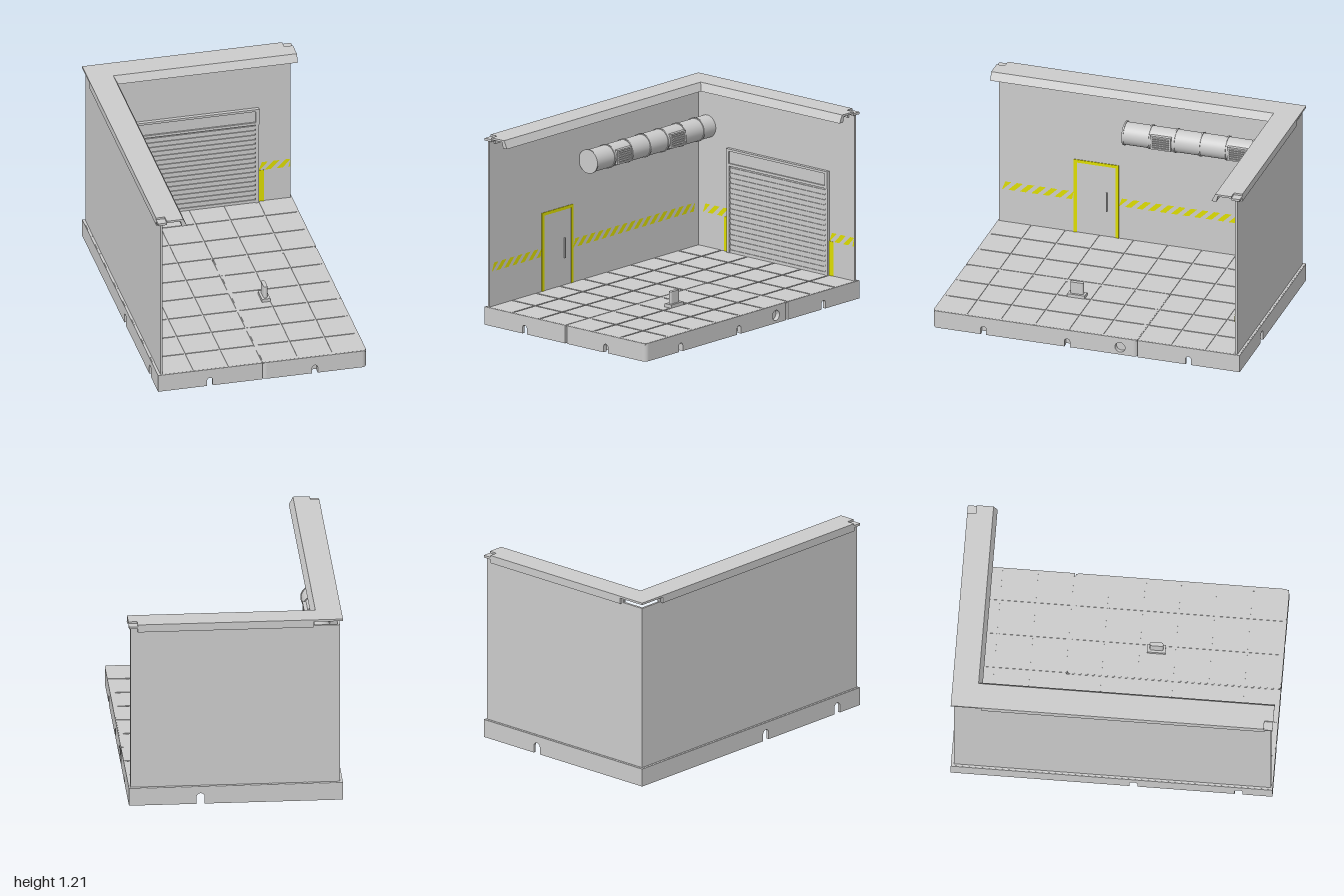
import * as THREE from 'three';

const grey = new THREE.MeshStandardMaterial({ color: 0xcccccc });
const yellow = new THREE.MeshStandardMaterial({ color: 0xdddd00, side: THREE.DoubleSide });
const FLOOR = 0.115, W = 0.665, SEAM = -0.333;

export function createModel() {
  const model = new THREE.Group();

  const add = (name, geometry, material = grey, parent = model) => {
    const mesh = new THREE.Mesh(geometry, material);
    mesh.name = name;
    parent.add(mesh);
    return mesh;
  };
  // box given by its limits on each axis
  const box = (name, x0, x1, y0, y1, z0, z1, material = grey, parent = model) => {
    const mesh = add(name, new THREE.BoxGeometry(x1 - x0, y1 - y0, z1 - z0), material, parent);
    mesh.position.set((x0 + x1) / 2, (y0 + y1) / 2, (z0 + z1) / 2);
    return mesh;
  };
  const poly = (points) => new THREE.Shape(points.map(([a, b]) => new THREE.Vector2(a, b)));
  const extrude = (shape, depth) =>
    new THREE.ExtrudeGeometry(shape, { depth, bevelEnabled: false, curveSegments: 10 });

  // skirt board along its local x, outer face at z = 0, with arched notches
  const skirt = (name, x0, x1, arches, width, height, thick, place, ports = []) => {
    const s = new THREE.Shape(), r = width / 2;
    s.moveTo(x0, 0);
    for (const a of arches) {
      s.lineTo(a - r, 0);
      s.lineTo(a - r, height - r);
      s.absarc(a, height - r, r, Math.PI, 0, true);
      s.lineTo(a + r, 0);
    }
    s.lineTo(x1, 0);
    s.lineTo(x1, FLOOR);
    s.lineTo(x0, FLOOR);
    for (const p of ports) s.holes.push(new THREE.Path().absarc(p, 0.05, 0.033, 0, Math.PI * 2, true));
    const g = extrude(s, thick);
    g.translate(0, 0, -thick);
    const mesh = add(name, g);
    mesh.rotation.y = place.turn;
    mesh.position.set(place.x ?? 0, 0, place.z ?? 0);
  };
  const H = Math.PI / 2;

  // main floor: L-shaped slab over open skirts
  box('floorSlab', -W, 0, 0.085, 0.112, -1, 1);
  box('floorSlabBack', 0, W, 0.085, 0.112, -1, SEAM);
  skirt('frontSkirt', -W, 0, [-0.335], 0.036, 0.055, 0.02, { turn: 0, z: 1 });
  skirt('backSkirt', -W, W, [-0.22], 0.05, 0.07, 0.017, { turn: Math.PI, z: -1 });
  skirt('leftSkirt', -1, 1, [0.135, 0.79], 0.05, 0.07, 0.017, { turn: -H, x: -W });
  skirt('rightSkirt', -SEAM, 1, [0.665], 0.036, 0.055, 0.02, { turn: H, x: W });

  // separate floor panel with rounded corners and a closed underside
  const R = 0.03;
  box('panelCore', R, W - R, 0.01, 0.112, SEAM + R, 1 - R);
  skirt('panelFront', R, W - R, [0.335], 0.036, 0.055, R, { turn: 0, z: 1 });
  skirt('panelBack', -W + R, -R, [-0.22], 0.05, 0.07, R, { turn: Math.PI, z: SEAM });
  skirt('panelRight', -1 + R, -SEAM - R, [-0.67, -0.125], 0.036, 0.055, R, { turn: H, x: W }, [0.22]);
  skirt('panelLeft', SEAM + R, 1 - R, [0.125, 0.67], 0.036, 0.055, R, { turn: -H });
  for (const x of [R, W - R]) for (const z of [SEAM + R, 1 - R]) {
    add('panelCorner', new THREE.CylinderGeometry(R, R, FLOOR, 24)).position.set(x, FLOOR / 2, z);
  }

  // floor tiles
  const T = 2 / 9, gap = 0.005;
  for (let i = 0; i < 6; i++) for (let j = 0; j < 9; j++) {
    const x = -W + i * T, z = -1 + j * T;
    box('floorTile', x + gap, Math.min(x + T, W) - gap, 0.108, FLOOR + 0.001, z + gap, z + T - gap);
  }

  // thin walls, lowered at the shared corner
  box('leftWall', -0.648, -0.634, 0.085, 1.165, -0.982, 0.99);
  box('leftWallTop', -0.648, -0.634, 1.165, 1.198, -0.82, 0.99);
  box('backWall', -0.648, 0.655, 0.085, 1.165, -0.982, -0.966);
  box('backWallTop', -0.49, 0.655, 1.165, 1.198, -0.982, -0.966);

  // cornice: L-shaped top plate with a stepped notch at each free end
  const plate = extrude(poly([
    [-W, -0.945], [-0.61, -0.945], [-0.61, -1], [-0.505, -1], [-0.505, 0.84],
    [W, 0.84], [W, 0.945], [0.61, 0.945], [0.61, 1], [-W, 1],
  ]), 0.013);
  plate.rotateX(-H);
  add('cornicePlate', plate).position.y = 1.197;
  box('corniceStepFront', -W, -0.61, 1.183, 1.198, 0.94, 1);
  box('corniceStepRight', 0.61, W, 1.183, 1.198, -1, -0.945);

  // cornice rails: cross-section runs inward from the outer edge
  const rail = (name, points, from, to, back) => {
    const mesh = add(name, extrude(poly(points), to - from));
    if (back) {
      mesh.rotation.y = -H;
      mesh.position.set(to, 0, -1);
    } else mesh.position.set(-W, 0, from);
  };
  const slope = [[0.143, 1.198], [0.152, 1.16], [0.185, 1.16], [0.16, 1.21], [0.143, 1.21]];
  const outer = [[0, 1.16], [0.016, 1.16], [0.016, 1.198], [0, 1.198]];
  const inner = outer.map(([u, y]) => [u + 0.031, y]);
  rail('leftCorniceSlope', slope, -0.84, 1, false);
  rail('backCorniceSlope', slope, -0.505, W, true);
  for (const lip of [outer, inner]) {
    rail('leftCorniceLip', lip, -0.81, 0.95, false);
    rail('backCorniceLip', lip, -0.48, 0.61, true);
  }

  // roller shutter
  const shutter = new THREE.Group();
  shutter.name = 'rollerShutter';
  model.add(shutter);
  const sb = (name, ...limits) => box(name, ...limits, grey, shutter);
  sb('shutterPost', -0.385, -0.365, FLOOR, 0.675, -0.968, -0.948);
  sb('shutterPost', 0.428, 0.45, FLOOR, 0.675, -0.968, -0.948);
  sb('shutterHousing', -0.385, 0.45, 0.675, 0.785, -0.968, -0.952);
  sb('housingRim', -0.385, 0.45, 0.77, 0.785, -0.955, -0.942);
  sb('housingRim', -0.385, 0.45, 0.675, 0.692, -0.955, -0.942);
  sb('housingRim', -0.385, -0.365, 0.692, 0.77, -0.955, -0.942);
  sb('housingRim', 0.428, 0.45, 0.692, 0.77, -0.955, -0.942);
  const slats = 17, pitch = 0.56 / slats;
  for (let i = 0; i < slats; i++) {
    const y = FLOOR + i * pitch;
    sb('shutterSlat', -0.365, 0.428, y, y + 0.02, -0.968, -0.954);
    sb('shutterGroove', -0.365, 0.428, y + 0.02, y + pitch, -0.968, -0.96);
  }

  // hazard markings: slanted stripes clipped to the ends of the band
  const band = (name, x0, x1, y0, y1, parent) => {
    const h = y1 - y0, w = 0.04, shapes = [];
    for (let a = x0 - 0.035; a < x1; a += 0.075) {
      const c = (v) => Math.min(Math.max(v, x0), x1);
      if (c(a + w + h) - c(a) < 0.01) continue;
      const pts = [[c(a), y0], [c(a + w), y0], [c(a + w + h), y1], [c(a + h), y1]];
      shapes.push(poly(pts));
    }
    add(name, new THREE.ShapeGeometry(shapes), yellow, parent);
  };
  const backMarks = new THREE.Group();
  backMarks.name = 'backWallMarkings';
  backMarks.position.z = -0.963;
  model.add(backMarks);
  band('hazardBand', -0.595, -0.385, 0.337, 0.393, backMarks);
  band('hazardBand', 0.45, 0.655, 0.337, 0.393, backMarks);
  box('yellowBar', -0.42, -0.385, FLOOR, 0.337, -0.001, 0.001, yellow, backMarks);
  box('yellowBar', 0.45, 0.485, FLOOR, 0.337, -0.001, 0.001, yellow, backMarks);

  // left wall: local x runs towards the back
  const leftMarks = new THREE.Group();
  leftMarks.name = 'leftWallMarkings';
  leftMarks.rotation.y = H;
  leftMarks.position.x = -0.631;
  model.add(leftMarks);
  band('hazardBand', -0.97, -0.505, 0.34, 0.395, leftMarks);
  band('hazardBand', -0.21, 0.93, 0.34, 0.395, leftMarks);
  box('doorFrameSide', -0.505, -0.483, FLOOR, 0.62, -0.002, 0.002, yellow, leftMarks);
  box('doorFrameSide', -0.23, -0.21, FLOOR, 0.62, -0.002, 0.002, yellow, leftMarks);
  box('doorFrameTop', -0.483, -0.23, 0.6, 0.62, -0.002, 0.002, yellow, leftMarks);
  box('doorHandle', -0.293, -0.285, 0.29, 0.42, -0.002, 0.006, grey, leftMarks);

  // ventilation duct with collars and louvred vents
  const duct = new THREE.Group();
  duct.name = 'duct';
  duct.position.set(-0.563, 0.891, 0);
  model.add(duct);
  const pipe = (name, radius, z0, z1) => {
    const g = new THREE.CylinderGeometry(radius, radius, z1 - z0, 40);
    g.rotateX(H);
    add(name, g, grey, duct).position.z = (z0 + z1) / 2;
  };
  pipe('ductPipe', 0.072, -0.967, 0.143);
  for (let i = 0; i < 7; i++) pipe('ductCollar', 0.077, 0.137 - i * 0.1665, 0.147 - i * 0.1665);
  for (const z of [-0.108, -0.61]) {
    box('ventBody', 0.02, 0.071, -0.046, 0.046, z - 0.068, z + 0.068, grey, duct);
    for (const s of [-1, 1]) {
      box('ventRim', 0.07, 0.078, s * 0.041 - 0.005, s * 0.041 + 0.005, z - 0.068, z + 0.068, grey, duct);
      box('ventRim', 0.07, 0.078, -0.036, 0.036, z + s * 0.061 - 0.007, z + s * 0.061 + 0.007, grey, duct);
    }
    for (let i = -2; i <= 2; i++) {
      const slat = box('ventSlat', 0.069, 0.078, i * 0.014 - 0.003, i * 0.014 + 0.003, z - 0.055, z + 0.055, grey, duct);
      slat.rotation.z = -0.4;
    }
  }

  // floor pedestal with a rounded upright
  box('pedestalBase', 0.175, 0.229, FLOOR, 0.137, 0.153, 0.266);
  const r = 0.0125, upright = new THREE.Shape();
  upright.absarc(0, 0.03, r, 0, Math.PI);
  upright.absarc(0, -0.03, r, Math.PI, Math.PI * 2);
  const post = extrude(upright, 0.08);
  post.rotateX(-H);
  add('pedestalUpright', post).position.set(0.202, 0.135, 0.21);

  return model;
}
